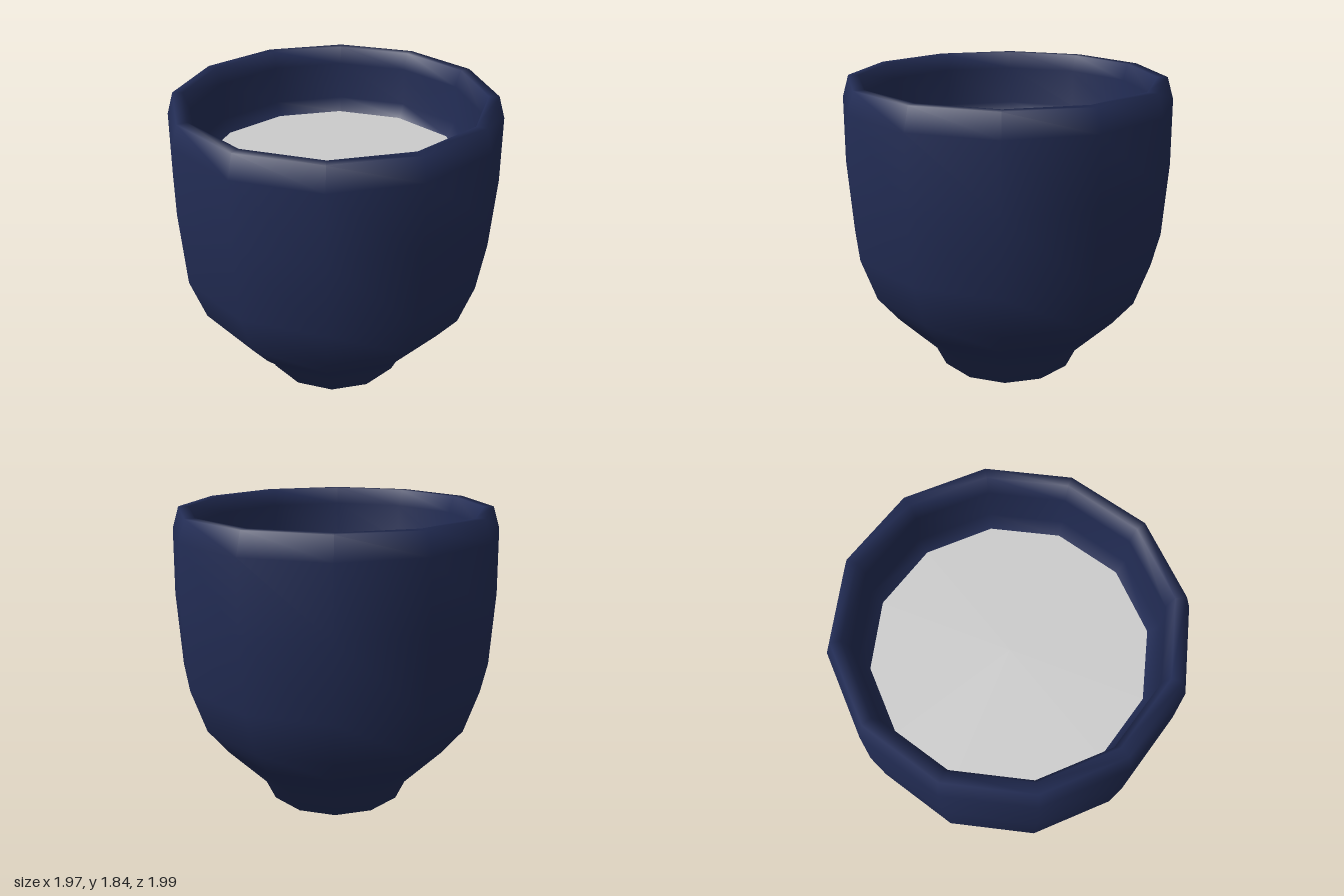
import * as THREE from 'three';

const SIDES = 12;

export function createModel() {
  const group = new THREE.Group();
  const glaze = new THREE.MeshStandardMaterial({ color: 0x222c54 });
  const grey = new THREE.MeshStandardMaterial({ color: 0xcccccc });

  // Cup wall: foot, flared bowl, flat rim, then down the inside to the liquid
  const profile = [
    [0, 0], [0.38, 0], [0.44, 0.02], [0.5, 0.15], [0.74, 0.41], [0.87, 0.58],
    [0.96, 0.85], [0.985, 1.31], [0.975, 1.71], [0.935, 1.84],
    [0.875, 1.84], [0.84, 1.74], [0.85, 1.5], [0.8, 1.42], [0.77, 1.38],
  ].map(([r, y]) => new THREE.Vector2(r, y));
  const cup = new THREE.Mesh(new THREE.LatheGeometry(profile, SIDES), glaze);
  cup.name = 'cup';
  cup.scale.z = 1.012;
  group.add(cup);

  // Liquid surface inside the cup
  const liquid = new THREE.Mesh(new THREE.CircleGeometry(0.8, SIDES), grey);
  liquid.name = 'liquid';
  liquid.rotation.x = -Math.PI / 2;
  liquid.position.y = 1.42;
  group.add(liquid);

  return group;
}
